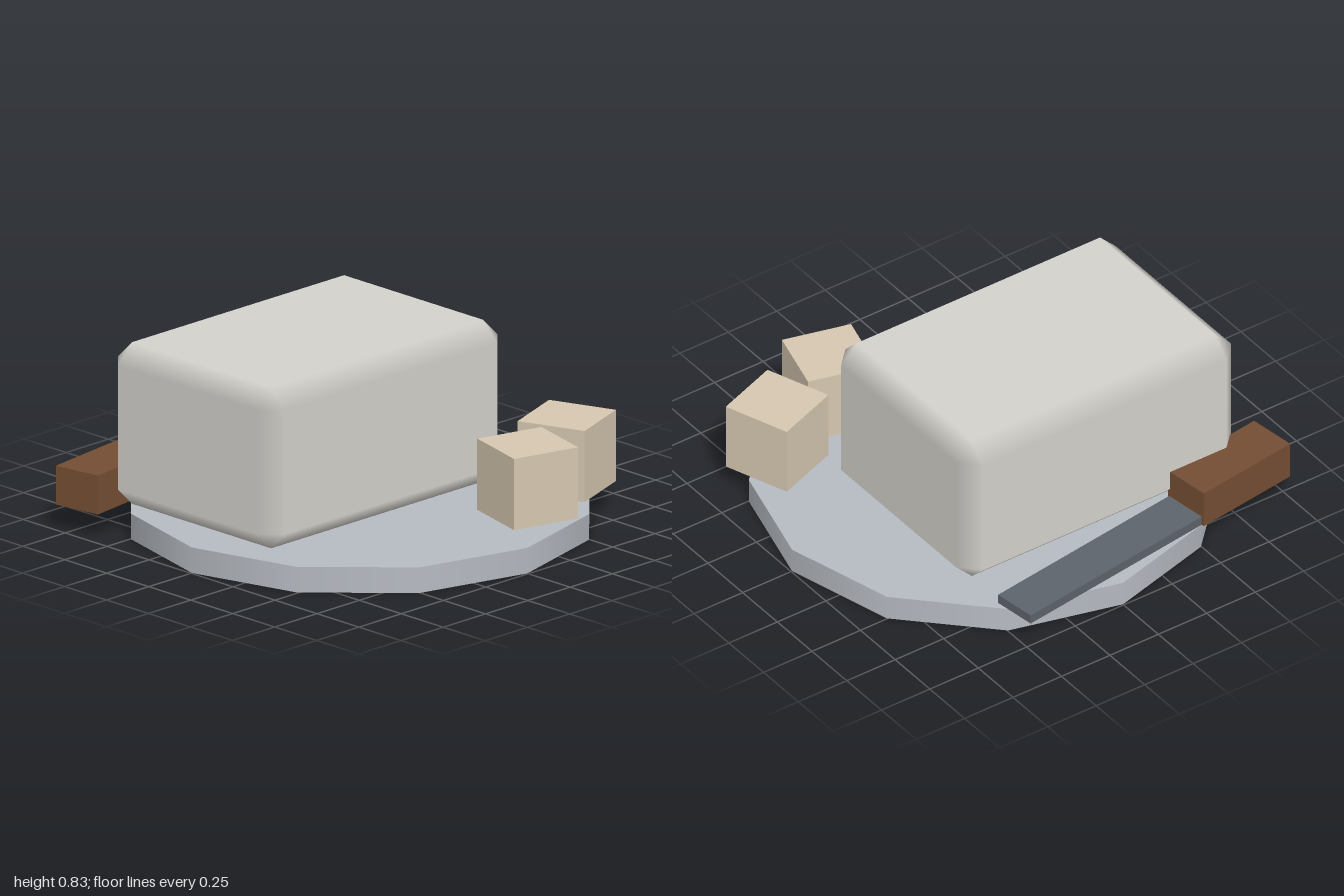
import * as THREE from 'three';
import { ConvexGeometry } from 'three/addons/geometries/ConvexGeometry.js';

const material = (name, color) => {
  const m = new THREE.MeshStandardMaterial({ color });
  m.name = name;
  return m;
};

// Box with one-step bevels, shaded smoothly from face to face
function bevelledBox(w, h, d, r) {
  const half = [w / 2, h / 2, d / 2];
  const points = [];
  for (const sx of [-1, 1]) for (const sy of [-1, 1]) for (const sz of [-1, 1]) {
    const s = [sx, sy, sz];
    for (let axis = 0; axis < 3; axis++) {
      points.push(new THREE.Vector3(...half.map((e, i) => s[i] * (i === axis ? e : e - r))));
    }
  }
  const geometry = new ConvexGeometry(points);
  const pos = geometry.attributes.position;
  const normal = geometry.attributes.normal;
  for (let i = 0; i < pos.count; i++) {
    const p = [pos.getX(i), pos.getY(i), pos.getZ(i)];
    // each corner lies on exactly one face plane
    normal.setXYZ(i, ...p.map((v, k) => (Math.abs(v) > half[k] - r / 2 ? Math.sign(v) : 0)));
  }
  return geometry;
}

export function createModel() {
  const group = new THREE.Group();
  const plateGrey = material('plate grey', 0xb6bbc2);
  const paleCheese = material('pale block', 0xd4d2cc);
  const creamCube = material('cream cube', 0xd6c7b0);
  const steel = material('dark steel', 0x5e646c);
  const wood = material('brown wood', 0x754e34);

  const add = (name, geometry, mat, x, y, z, turn = 0) => {
    const mesh = new THREE.Mesh(geometry, mat);
    mesh.name = name;
    mesh.position.set(x, y, z);
    mesh.rotation.y = turn;
    group.add(mesh);
  };

  const top = 0.113; // upper surface of the plate

  // Twelve-sided plate
  add('plate', new THREE.CylinderGeometry(0.995, 0.995, top, 12), plateGrey, 0, top / 2, 0);

  // Large bevelled block
  add('block', bevelledBox(1.42, 0.715, 0.995, 0.083), paleCheese, -0.14, top + 0.3575, -0.1725);

  // Two cut cubes
  const cube = new THREE.BoxGeometry(0.31, 0.315, 0.31);
  add('leftCube', cube, creamCube, 0.687, top + 0.1575, 0.538, 0.35);
  add('rightCube', cube, creamCube, 0.315, top + 0.1575, 0.68, -0.26);

  // Knife lying behind the block
  const turn = 0.14;
  add('knifeHandle', new THREE.BoxGeometry(0.5, 0.172, 0.22), wood, -0.737, top + 0.086, -0.73, turn);
  add('knifeBlade', new THREE.BoxGeometry(0.995, 0.043, 0.198), steel, 0, top + 0.0215, -0.831, turn);

  return group;
}
